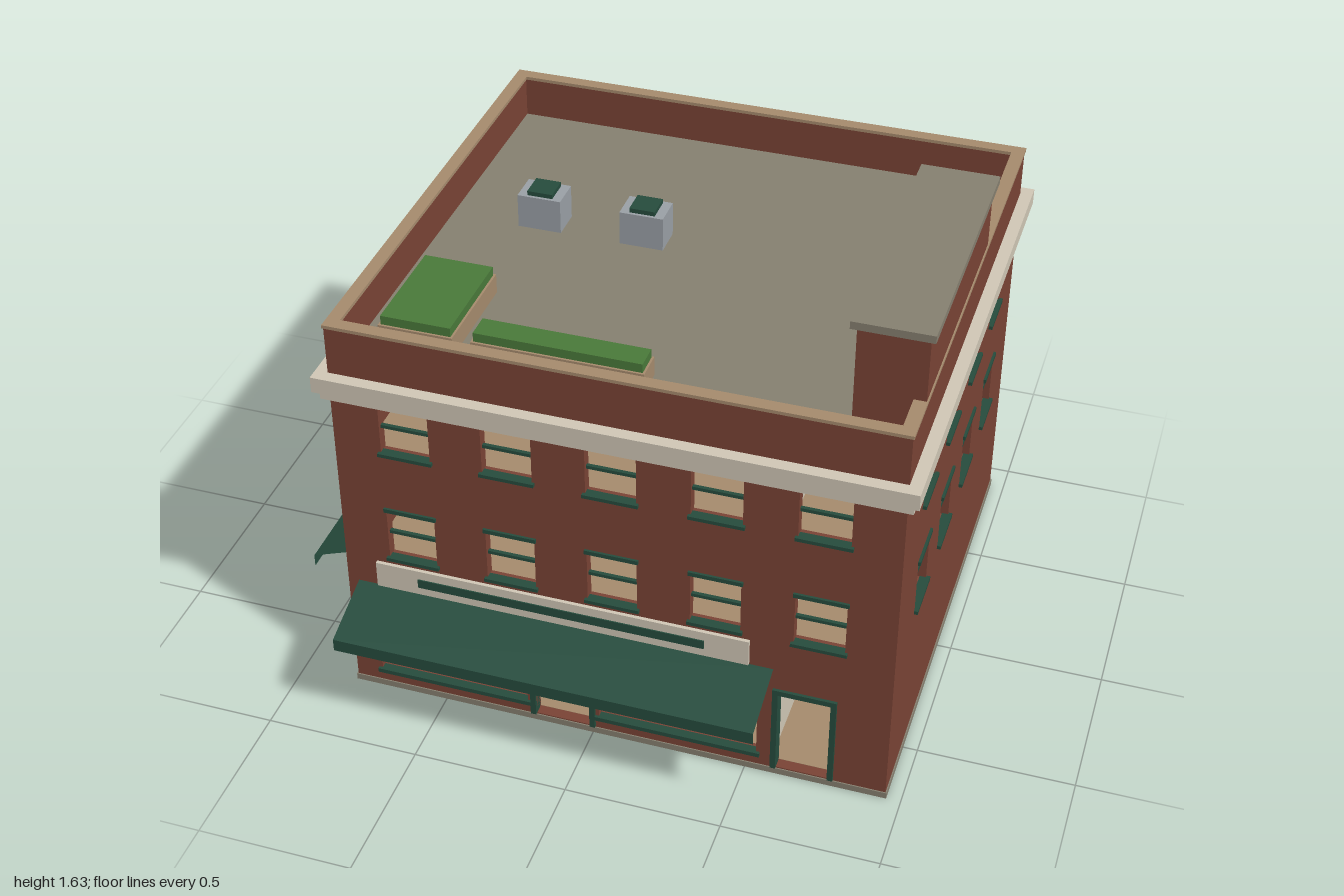
import * as THREE from 'three';

const mat = (name, color) => {
  const m = new THREE.MeshStandardMaterial({ color });
  m.name = name;
  return m;
};

export function createModel() {
  const brick = mat('brick', 0x7a4335);
  const cream = mat('cream', 0xd0c7b6);
  const green = mat('dark green', 0x264c3d);
  const greenSheet = green.clone();
  greenSheet.name = 'awning green';
  greenSheet.side = THREE.DoubleSide;
  const stone = mat('stone', 0x868070);
  const wood = mat('wood', 0xa68b6d);
  const leaf = mat('leaf green', 0x4a7a3a);
  const metal = mat('metal', 0x9aa0a6);

  const root = new THREE.Group();
  root.name = 'building';
  const add = (name, geo, material) => {
    const m = new THREE.Mesh(geo, material);
    m.name = name;
    root.add(m);
    return m;
  };
  const box = (name, material, x0, x1, y0, y1, z0, z1) => {
    const m = add(name, new THREE.BoxGeometry(x1 - x0, y1 - y0, z1 - z0), material);
    m.position.set((x0 + x1) / 2, (y0 + y1) / 2, (z0 + z1) / 2);
    return m;
  };

  // Outer walls and storey levels
  const X0 = -0.81, X1 = 0.95, Z0 = -0.905, Z1 = 0.73, T = 0.035, TOP = 1.385;
  const floors = [0.025, 0.455, 0.86, 1.25];

  // Rectangular plate with rectangular holes [u0, u1, v0, v1]
  const plate = (u0, u1, v0, v1, holes, depth) => {
    const rect = (P, a, b, c, d) =>
      new P([[a, c], [b, c], [b, d], [a, d]].map(p => new THREE.Vector2(...p)));
    const s = rect(THREE.Shape, u0, u1, v0, v1);
    s.holes = holes.map(h => rect(THREE.Path, ...h));
    return new THREE.ExtrudeGeometry(s, { depth, bevelEnabled: false });
  };
  // Plate facing along z, starting at z
  const wallZ = (name, material, z, u0, u1, v0, v1, holes, t = T) =>
    add(name, plate(u0, u1, v0, v1, holes, t).translate(0, 0, z), material);
  // Plate facing along x, ending at x (u runs along z)
  const wallX = (name, material, x, u0, u1, v0, v1, holes, t = T) =>
    add(name, plate(u0, u1, v0, v1, holes, t).rotateY(-Math.PI / 2).translate(x, 0, 0), material);
  // Horizontal slab with its top at y (v runs along z)
  const slab = (name, material, y, x0, x1, z0, z1, holes, t) =>
    add(name, plate(x0, x1, z0, z1, holes, t).rotateX(Math.PI / 2).translate(0, y, 0), material);
  // Box on a facade: u along it, d measured outward from the wall face
  const onFace = (side, name, material, u0, u1, y0, y1, d0, d1) => {
    if (side === 'front') box(name, material, u0, u1, y0, y1, Z1 + d0, Z1 + d1);
    if (side === 'back') box(name, material, u0, u1, y0, y1, Z0 - d1, Z0 - d0);
    if (side === 'left') box(name, material, X1 + d0, X1 + d1, y0, y1, u0, u1);
    if (side === 'right') box(name, material, X0 - d1, X0 - d0, y0, y1, u0, u1);
  };

  // Windows: openings plus sill, lintel and sash rail
  const xs = [-0.58, -0.255, 0.07, 0.395, 0.718], zs = [0.4, 0.077, -0.25, -0.575];
  const rows = [[0.555, 0.738], [0.962, 1.143]];
  const openings = us => us.flatMap(u => rows.map(([a, b]) => [u - 0.079, u + 0.079, a, b]));
  for (const [side, us] of [['front', xs], ['back', xs], ['left', zs], ['right', zs]])
    for (const [u0, u1, a, b] of openings(us)) {
      onFace(side, 'windowSill', green, u0 - 0.008, u1 + 0.008, a - 0.01, a + 0.002, -0.02, 0.012);
      onFace(side, 'windowLintel', green, u0 - 0.006, u1 + 0.006, b - 0.003, b + 0.011, -0.02, 0.008);
      onFace(side, 'sashRail', green, u0, u1, (a + b) / 2 - 0.006, (a + b) / 2 + 0.005, -0.024, -0.012);
    }

  // Shopfront and door openings
  const hallDoor = [0.6, 0.765, 0.026, 0.335];
  const shopDoor = [-0.19, -0.01, 0.026, 0.32];
  const shopWindows = [[-0.72, -0.22, 0.07, 0.32], [0.02, 0.535, 0.07, 0.32]];
  const sideWindow = [0.04, 0.54, 0.07, 0.32];
  wallZ('frontWall', brick, Z1 - T, X0, X1, 0.02, TOP, [...openings(xs), ...shopWindows, shopDoor, hallDoor]);
  wallZ('backWall', brick, Z0, X0, X1, 0.02, TOP, [...openings(xs), hallDoor]);
  wallX('leftWall', brick, X1, Z0 + T, Z1 - T, 0.02, TOP, openings(zs));
  wallX('rightWall', brick, X0 + T, Z0 + T, Z1 - T, 0.02, TOP, [...openings(zs), sideWindow]);

  const doorFrame = (side, [u0, u1, y0, y1]) => {
    onFace(side, 'doorJamb', green, u0 - 0.018, u0, y0, y1, -T, 0.01);
    onFace(side, 'doorJamb', green, u1, u1 + 0.018, y0, y1, -T, 0.01);
    onFace(side, 'doorHead', green, u0 - 0.018, u1 + 0.018, y1, y1 + 0.018, -T, 0.01);
  };
  doorFrame('front', shopDoor);
  doorFrame('front', hallDoor);
  doorFrame('back', hallDoor);
  for (const [side, w] of [...shopWindows.map(w => ['front', w]), ['right', sideWindow]]) {
    onFace(side, 'shopWindowSill', green, w[0] - 0.012, w[1] + 0.012, w[2] - 0.012, w[2] + 0.003, -0.02, 0.01);
    onFace(side, 'shopWindowHead', green, w[0] - 0.012, w[1] + 0.012, w[3] - 0.003, w[3] + 0.012, -0.02, 0.01);
  }

  // Awnings: sloped sheet and hanging valance
  const awning = (name, width, reach) => {
    const rowsAt = [[0.43, 0], [0.36, reach], [0.317, reach]];
    const pos = rowsAt.flatMap(([y, z]) => [-width / 2, y, z, width / 2, y, z]);
    const g = new THREE.BufferGeometry();
    g.setAttribute('position', new THREE.Float32BufferAttribute(pos, 3));
    g.setIndex([0, 2, 1, 1, 2, 3, 2, 4, 3, 3, 4, 5]);
    const flat = g.toNonIndexed();
    flat.computeVertexNormals();
    return add(name, flat, greenSheet);
  };
  awning('frontAwning', 1.355, 0.215).position.set(-0.097, 0, Z1);
  const sideAwning = awning('sideAwning', 0.6, 0.19);
  sideAwning.rotation.y = -Math.PI / 2;
  sideAwning.position.set(X0, 0, 0.29);

  // Blank sign board
  onFace('front', 'signBoard', cream, -0.705, 0.505, 0.435, 0.527, 0, 0.012);
  onFace('front', 'signStripe', green, -0.565, 0.365, 0.465, 0.496, 0.012, 0.016);

  // Rings around the building: cornice, band, coping
  const ring = (name, material, out, y0, y1, inner = 0.01) =>
    slab(name, material, y1, X0 - out, X1 + out, Z0 - out, Z1 + out,
      [[X0 + inner, X1 - inner, Z0 + inner, Z1 - inner]], y1 - y0);
  ring('cornice', cream, 0.04, 1.172, 1.225);
  ring('corniceBand', cream, 0.022, 1.14, 1.16);
  ring('parapetCoping', wood, 0.004, TOP, 1.396, T + 0.003);
  box('plinth', stone, X0 - 0.004, X1 + 0.004, 0, 0.022, Z0 - 0.004, Z1 + 0.004);

  // Floors, ceilings and roof with the stairwell cut out
  const ix0 = X0 + T, ix1 = X1 - T, iz0 = Z0 + T, iz1 = Z1 - T;
  const well = [0.765, ix1 - 0.004, -0.06, 0.47];
  slab('groundFloor', wood, floors[0] + 0.002, ix0, ix1, iz0, iz1, [], 0.006);
  for (const y of floors.slice(1)) {
    const roof = y === floors[3];
    slab(roof ? 'roofDeck' : 'floor', roof ? stone : wood, y, ix0, ix1, iz0, iz1, [well], 0.012);
    slab('ceiling', cream, y - 0.012, ix0, ix1, iz0, iz1, [well], 0.01);
  }

  // Inner partitions: hall wall with doorways, cross wall behind the shop
  const doorways = floors.slice(0, 3).flatMap(f =>
    [[-0.535, -0.38, f + 0.01, f + 0.275], [0.2, 0.345, f + 0.01, f + 0.275]]);
  wallX('hallPartition', cream, 0.578, iz0, iz1, 0.025, 1.235, doorways, 0.02);
  wallZ('crossPartition', cream, -0.1, ix0, 0.558, 0.025, 1.235, [], 0.02);

  // Stair flights with handrails, rising toward the back
  const STEPS = 14, zStart = 0.48, run = 0.038;
  for (let f = 0; f < 3; f++) {
    const rise = (floors[f + 1] - floors[f]) / STEPS;
    for (let i = 0; i < STEPS; i++) {
      const top = floors[f] + rise * (i + 1), z = zStart - run * i;
      box('stairStep', wood, 0.77, ix1 - 0.005, Math.max(floors[f], top - rise * 1.8), top, z - run, z);
    }
    const dy = floors[f + 1] - floors[f], dz = run * STEPS;
    const rail = add('handrail', new THREE.BoxGeometry(0.008, 0.01, Math.hypot(dy, dz)), wood);
    rail.position.set(0.775, floors[f] + dy / 2 + 0.15, zStart - dz / 2);
    rail.rotation.x = Math.atan2(dy, dz);
  }

  // Stair house on the roof, open at the back
  const B0 = 0.74, BZ0 = -0.295, BZ1 = 0.565, BT = 0.025;
  box('stairHouseInnerWall', brick, B0, B0 + BT, 1.25, 1.605, BZ0, BZ1);
  box('stairHouseOuterWall', brick, X1 - BT, X1, 1.39, 1.605, BZ0, BZ1);
  box('stairHouseFrontWall', brick, B0 + BT, X1 - BT, 1.25, 1.605, BZ1 - BT, BZ1);
  box('stairHouseHead', brick, B0 + BT, X1 - BT, 1.54, 1.605, BZ0, BZ0 + BT);
  box('stairHouseDoorHead', green, B0 + BT, X1 - BT, 1.53, 1.54, BZ0 - 0.004, BZ0 + BT);
  box('stairHouseCap', stone, 0.722, 0.965, 1.603, 1.628, -0.313, 0.578);

  // Roof units
  for (const x of [-0.473, -0.13]) {
    box('roofUnit', metal, x - 0.072, x + 0.072, 1.25, 1.365, -0.277, -0.172);
    box('roofUnitVent', green, x - 0.042, x + 0.042, 1.365, 1.38, -0.267, -0.182);
  }

  // Planters
  for (const [x0, x1, z0, z1] of [[-0.71, -0.473, 0.21, 0.575], [-0.415, 0.125, 0.48, 0.575]]) {
    box('planterBox', wood, x0, x1, 1.25, 1.315, z0, z1);
    box('planterPlants', leaf, x0 + 0.007, x1 - 0.007, 1.315, 1.345, z0 + 0.007, z1 - 0.007);
  }
  return root;
}
